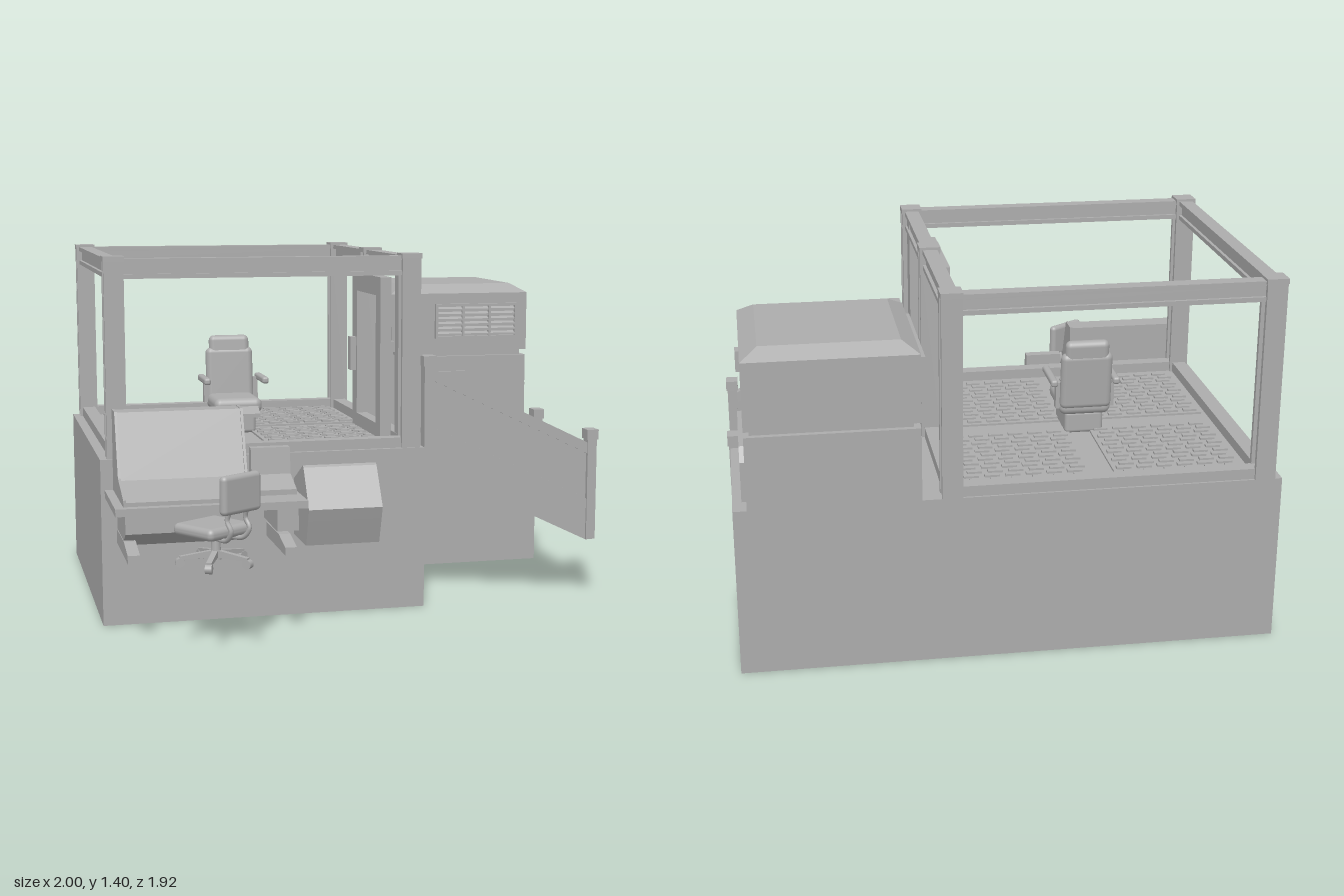
import * as THREE from 'three';
import { mergeGeometries } from 'three/addons/utils/BufferGeometryUtils.js';
import { RoundedBoxGeometry } from 'three/addons/geometries/RoundedBoxGeometry.js';

export function createModel() {
  const root = new THREE.Group();
  root.name = 'trainingPlatform';
  const grey = new THREE.MeshStandardMaterial({ color: 0xacacac });
  grey.name = 'plainGrey';

  const add = (name, geo, parent = root) => {
    const m = new THREE.Mesh(geo, grey);
    m.name = name;
    parent.add(m);
    return m;
  };
  const group = (name, parent = root) => {
    const g = new THREE.Group();
    g.name = name;
    parent.add(g);
    return g;
  };
  // box from its limits on each axis
  const boxGeo = (x0, x1, y0, y1, z0, z1) => new THREE.BoxGeometry(x1 - x0, y1 - y0, z1 - z0)
    .translate((x0 + x1) / 2, (y0 + y1) / 2, (z0 + z1) / 2);
  const box = (name, x0, x1, y0, y1, z0, z1, parent) => add(name, boxGeo(x0, x1, y0, y1, z0, z1), parent);
  const soft = (name, w, h, d, r, x, y, z, parent) => {
    const m = add(name, new RoundedBoxGeometry(w, h, d, 3, r), parent);
    m.position.set(x, y, z);
    return m;
  };
  const shapeOf = pts => new THREE.Shape(pts.map(p => new THREE.Vector2(p[0], p[1])));
  const extrude = (shape, depth) => new THREE.ExtrudeGeometry(shape, { depth, bevelEnabled: false });
  // outline in (x, y) swept over z, and outline in (z, y) swept over x
  const plateZ = (name, pts, z0, z1, parent) => add(name, extrude(shapeOf(pts), z1 - z0).translate(0, 0, z0), parent);
  const prismX = (name, pts, x0, x1, parent) =>
    add(name, extrude(shapeOf(pts), x1 - x0).rotateY(-Math.PI / 2).translate(x1, 0, 0), parent);
  // bar with a channel on both sides, along +z
  const channelBar = (w, h, len) => {
    const a = w / 2, b = h / 2, n = w * 0.22, c = h * 0.27;
    return extrude(shapeOf([[-a, -b], [a, -b], [a, -c], [a - n, -c], [a - n, c], [a, c], [a, b],
      [-a, b], [-a, c], [-a + n, c], [-a + n, -c], [-a, -c]]), len);
  };

  // L-shaped base
  add('base', extrude(shapeOf([[-1, -0.34], [0.27, -0.34], [0.27, 0.34], [0.99, 0.34], [0.99, 0.93], [-1, 0.93]]), 0.64)
    .rotateX(-Math.PI / 2));

  // cab frame: posts, caps, top beams and curbs
  const cab = group('cabFrame');
  const XL = -0.935, XR = 0.215, ZF = 0.295, ZB = -0.895, ZM = -0.3;
  for (const [x, z] of [[XL, ZF], [XR, ZF], [XL, ZB], [XR, ZB], [XR, ZM]]) {
    add('post', channelBar(0.075, 0.075, 0.74).rotateX(-Math.PI / 2).translate(x, 0.64, z), cab);
    box('postCap', x - 0.04, x + 0.04, 1.38, 1.4, z - 0.04, z + 0.04, cab);
  }
  for (const z of [ZF, ZB]) {
    add('topBeam', channelBar(0.055, 0.075, XR - XL).rotateY(Math.PI / 2).translate(XL, 1.353, z), cab);
    box('curb', XL, XR, 0.64, 0.68, z - 0.027, z + 0.027, cab);
  }
  for (const x of [XL, XR]) {
    add('topBeam', channelBar(0.055, 0.075, ZF - ZB).translate(x, 1.353, ZB), cab);
    box('curb', x - 0.027, x + 0.027, 0.64, 0.68, ZB, ZF, cab);
  }
  box('sidePanel', 0.19, 0.235, 0.64, 1.39, 0.18, 0.28, cab);

  // door frame with an open centre
  const doorShape = shapeOf([[-0.27, 0.65], [0.18, 0.65], [0.18, 1.3], [-0.27, 1.3]]);
  doorShape.holes.push(new THREE.Path([[-0.195, 0.71], [-0.195, 1.225], [0.11, 1.225], [0.11, 0.71]]
    .map(p => new THREE.Vector2(...p))));
  add('doorFrame', extrude(doorShape, 0.045).rotateY(-Math.PI / 2).translate(0.175, 0, 0), cab);
  box('doorHandle', 0.105, 0.13, 0.89, 1.03, -0.245, -0.205, cab);

  // floor panels with staggered tread bars
  const bars = [];
  for (const x0 of [-0.89, -0.32]) for (const z0 of [-0.835, -0.255]) {
    box('floorPanel', x0, x0 + 0.487, 0.64, 0.648, z0, z0 + 0.482);
    for (let r = 0; r < 12; r++) for (let c = 0; c < 6; c++) {
      const x = x0 + 0.015 + c * 0.077 + (r % 2) * 0.018, z = z0 + 0.015 + r * 0.039;
      bars.push(boxGeo(x, x + 0.055, 0.647, 0.656, z, z + 0.022));
    }
  }
  add('treadBars', mergeGeometries(bars));

  // operator seat
  const seat = group('operatorSeat');
  seat.position.set(-0.378, 0.64, -0.29);
  soft('seatBase', 0.15, 0.09, 0.19, 0.015, 0, 0.045, 0, seat);
  soft('seatCushion', 0.2, 0.065, 0.24, 0.028, 0, 0.115, 0, seat);
  soft('seatBack', 0.2, 0.23, 0.05, 0.024, 0, 0.225, -0.11, seat).rotation.x = -0.08;
  soft('headrest', 0.17, 0.09, 0.045, 0.022, 0, 0.345, -0.12, seat).rotation.x = -0.08;
  for (const s of [-1, 1]) {
    soft('armrest', 0.028, 0.028, 0.19, 0.01, s * 0.122, 0.215, -0.02, seat);
    box('armBracket', s * 0.105 - 0.01, s * 0.105 + 0.01, 0.11, 0.215, -0.1, -0.07, seat);
  }
  prismX('footrest', [[0.09, 0.07], [0.14, 0.085], [0.17, 0.075], [0.17, 0.09], [0.14, 0.105], [0.09, 0.13]], -0.08, 0.08, seat);

  // machine housing behind the stairs
  const unit = group('machineHousing');
  box('lowerHousing', 0.325, 0.94, 0.64, 0.92, -0.945, -0.365, unit);
  box('neck', 0.35, 0.92, 0.92, 0.95, -0.925, -0.385, unit);
  box('upperHousing', 0.325, 0.94, 0.945, 1.195, -0.957, -0.355, unit);
  const lid = new THREE.BoxGeometry(0.615, 0.038, 0.602);
  for (let i = 0, p = lid.attributes.position; i < p.count; i++)
    if (p.getY(i) > 0) p.setXYZ(i, p.getX(i) * 0.8, p.getY(i), p.getZ(i) * 0.8);
  lid.computeVertexNormals();
  add('bevelledLid', lid.translate(0.6325, 1.214, -0.656), unit);
  box('sideVent', 0.305, 0.325, 1.06, 1.17, -0.91, -0.41, unit);
  box('latch', 0.94, 0.955, 1.0, 1.08, -0.49, -0.44, unit);
  box('frontHatch', 0.52, 0.66, 0.75, 0.855, -0.365, -0.352, unit);
  prismX('sideHatch', [[-0.85, 0.64], [-0.41, 0.64], [-0.41, 0.79], [-0.455, 0.835], [-0.805, 0.835], [-0.85, 0.79]],
    0.94, 0.957, unit);
  // louvred grille
  for (const y of [1.0, 1.14]) box('grilleEdge', 0.52, 0.89, y, y + 0.01, -0.355, -0.335, unit);
  for (const x of [0.52, 0.64, 0.76, 0.88]) box('grilleBar', x, x + 0.01, 1.0, 1.15, -0.355, -0.335, unit);
  for (let i = 0; i < 6; i++) {
    const y = 1.013 + i * 0.0215;
    prismX('louvre', [[-0.355, y + 0.004], [-0.338, y], [-0.338, y + 0.008], [-0.355, y + 0.016]], 0.53, 0.88, unit);
  }

  // stairs with panelled railings
  const stairs = group('stairs');
  const fall = (x, y) => y - 0.483 * (x - 0.31);
  const slopeBand = (name, lo, hi, z0, z1) => plateZ(name, [[0.3, fall(0.3, lo)], [0.965, fall(0.965, lo)],
    [0.965, fall(0.965, hi)], [0.3, fall(0.3, hi)]], z0, z1, stairs);
  for (const z of [0.313, -0.3]) {
    box('upperPost', 0.268, 0.31, 0.545, 0.985, z - 0.025, z + 0.025, stairs);
    box('upperPostCap', 0.263, 0.315, 0.96, 1.0, z - 0.03, z + 0.03, stairs);
    box('lowerPost', 0.957, 0.995, 0.235, 0.67, z - 0.025, z + 0.025, stairs);
    box('lowerPostCap', 0.952, 1.0, 0.645, 0.685, z - 0.03, z + 0.03, stairs);
    slopeBand('handrail', 0.9, 0.945, z - 0.02, z + 0.02);
    slopeBand('railPanel', 0.71, 0.9, z - 0.008, z + 0.008);
    slopeBand('lowerRail', 0.675, 0.715, z - 0.018, z + 0.018);
    slopeBand('stringer', 0.545, 0.675, z - 0.015, z + 0.015);
  }
  for (let i = 0; i < 7; i++) {
    const x = 0.27 + i * 0.102, y = 0.635 - i * 0.049;
    box('tread', x, x + 0.102, y - 0.025, y, -0.29, 0.3, stairs);
  }

  // front storage box
  prismX('storageBox', [[0.34, 0.32], [0.555, 0.32], [0.59, 0.42], [0.605, 0.465], [0.512, 0.61], [0.5, 0.617], [0.34, 0.54]],
    -0.257, 0.027);

  // control desk and console
  const desk = group('controlDesk');
  box('deskTop', -0.985, -0.285, 0.497, 0.525, 0.34, 0.72, desk);
  prismX('console', [[0.34, 0.525], [0.685, 0.525], [0.685, 0.54], [0.515, 0.59], [0.425, 0.83], [0.34, 0.83]],
    -0.945, -0.48, desk);
  for (const x of [-0.953, -0.482])
    prismX('consoleSide', [[0.34, 0.525], [0.69, 0.525], [0.69, 0.55], [0.52, 0.6], [0.43, 0.833], [0.34, 0.833]],
      x, x + 0.01, desk);
  prismX('underBody', [[0.34, 0.345], [0.5, 0.345], [0.62, 0.41], [0.62, 0.497], [0.34, 0.497]], -0.94, -0.48, desk);
  box('apron', -0.375, -0.295, 0.39, 0.497, 0.34, 0.6, desk);
  prismX('deskTerminal', [[0.43, 0.525], [0.59, 0.525], [0.59, 0.545], [0.48, 0.585], [0.47, 0.685], [0.43, 0.685]],
    -0.45, -0.3, desk);
  for (const x of [-0.92, -0.345]) {
    prismX('deskFoot', [[0.34, 0.32], [0.7, 0.32], [0.7, 0.35], [0.58, 0.375], [0.34, 0.375]], x - 0.022, x + 0.022, desk);
    box('deskLeg', x - 0.018, x + 0.018, 0.36, 0.5, 0.42, 0.53, desk);
  }

  // swivel chair turned toward the desk, its back on local +z
  const chair = group('swivelChair');
  chair.position.set(-0.64, 0.32, 0.8);
  chair.rotation.y = 0.6;
  soft('chairSeat', 0.21, 0.045, 0.2, 0.02, 0, 0.135, -0.015, chair);
  soft('chairBack', 0.185, 0.14, 0.035, 0.017, 0, 0.28, 0.125, chair);
  add('chairColumn', new THREE.CylinderGeometry(0.014, 0.02, 0.1, 16).translate(0, 0.075, 0), chair);
  for (const s of [-1, 1]) {
    const path = new THREE.CatmullRomCurve3([[0.03, 0.11, 0.02], [0.04, 0.115, 0.1], [0.045, 0.15, 0.125],
      [0.045, 0.185, 0.105], [0.04, 0.23, 0.12]].map(p => new THREE.Vector3(s * p[0], p[1], p[2])));
    add('backSupport', new THREE.TubeGeometry(path, 20, 0.009, 8), chair);
  }
  for (let i = 0; i < 5; i++) {
    const leg = group('chairLeg', chair);
    leg.rotation.y = i * Math.PI * 0.4 + 0.3;
    prismX('legArm', [[0, 0.035], [0.13, 0.03], [0.13, 0.042], [0, 0.062]], -0.01, 0.01, leg);
    add('caster', new THREE.CylinderGeometry(0.017, 0.017, 0.024, 14).rotateZ(Math.PI / 2).translate(0, 0.019, 0.128), leg);
  }
  return root;
}
